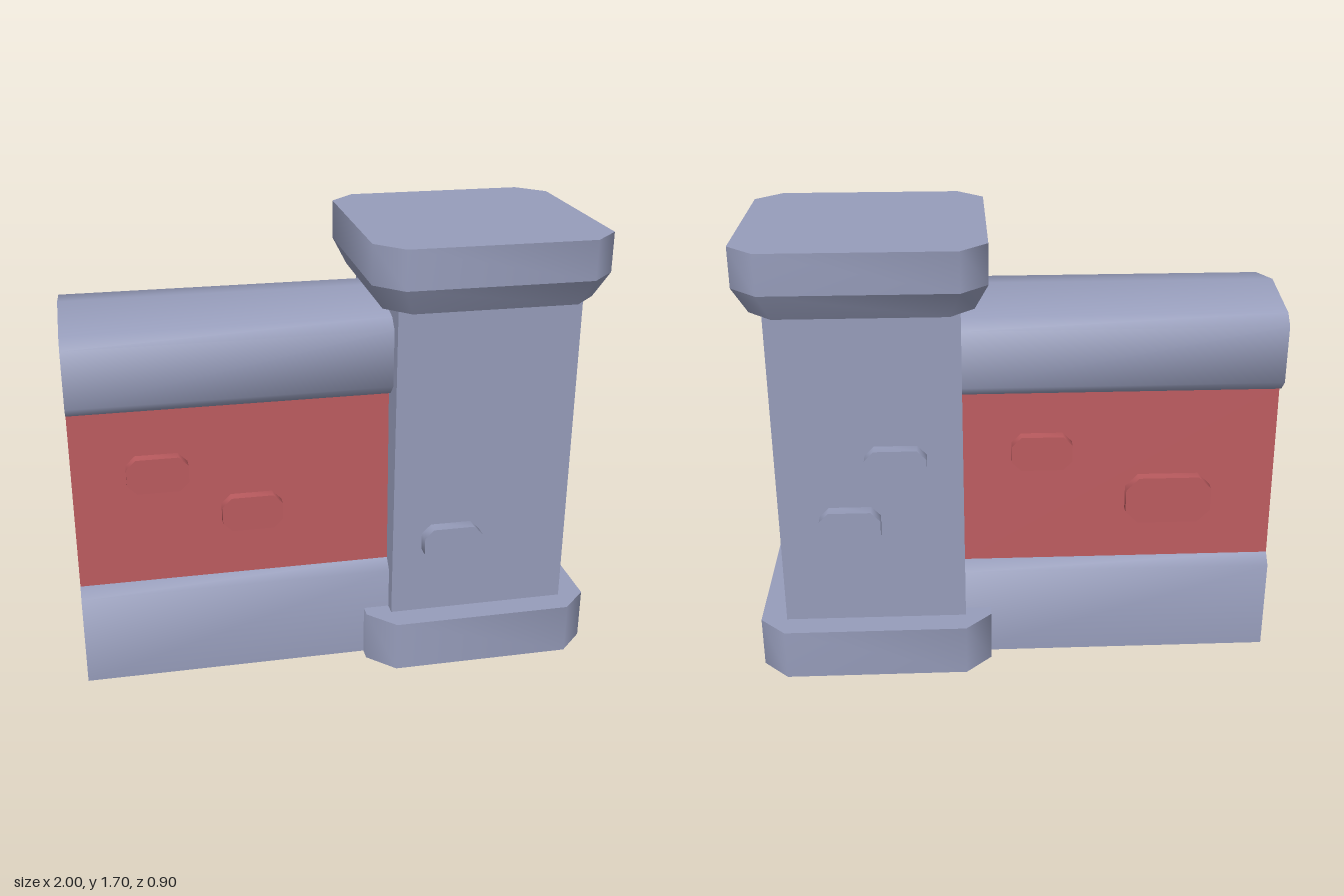
import * as THREE from 'three';
import { toCreasedNormals } from 'three/addons/utils/BufferGeometryUtils.js';

const stone = new THREE.MeshStandardMaterial({ color: 0x969cba });
stone.name = 'stone';
const redBrick = new THREE.MeshStandardMaterial({ color: 0xbb5b5f });
redBrick.name = 'red brick';

const PILLAR_X = 0.55;

function extrude(points, depth) {
  const shape = new THREE.Shape(points.map(([x, y]) => new THREE.Vector2(x, y)));
  return new THREE.ExtrudeGeometry(shape, { depth, bevelEnabled: false });
}

// Rectangle centred on the origin with its four corners cut off
function cutRect(w, h, c) {
  const a = w / 2, b = h / 2;
  return [[a, -b + c], [a, b - c], [a - c, b], [-a + c, b],
    [-a, b - c], [-a, -b + c], [-a + c, -b], [a - c, -b]];
}

export function createModel() {
  const group = new THREE.Group();

  function add(name, geometry, material) {
    const mesh = new THREE.Mesh(geometry, material);
    mesh.name = name;
    group.add(mesh);
    return mesh;
  }

  // Wall courses: a symmetric [half depth, height] profile run along x
  function course(name, half, material) {
    const mirrored = half.filter(([z]) => z > 0).reverse().map(([z, y]) => [-z, y]);
    const geometry = extrude([...half, ...mirrored], 1.2);
    geometry.rotateY(Math.PI / 2).translate(-1, 0, 0);
    add(name, toCreasedNormals(geometry, 0.85), material);
  }
  course('wallBase', [[0.3, 0], [0.3, 0.36], [0.26, 0.4]], stone);
  course('wallPanel', [[0.26, 0.4], [0.235, 1.1]], redBrick);
  course('wallCoping', [[0.26, 1.1], [0.3, 1.14], [0.3, 1.36], [0.26, 1.4], [0, 1.45]], stone);

  // Pillar slabs with cut corners, optionally narrower at the bottom
  function slab(name, y, height, bottomScale = 1) {
    const geometry = extrude(cutRect(0.9, 0.9, 0.1), height).rotateX(-Math.PI / 2);
    const p = geometry.attributes.position;
    for (let i = 0; i < p.count; i++) {
      if (p.getY(i) < height / 2) p.setXYZ(i, p.getX(i) * bottomScale, 0, p.getZ(i) * bottomScale);
    }
    geometry.translate(PILLAR_X, y, 0);
    add(name, toCreasedNormals(geometry, 0.85), stone);
  }
  slab('pillarPlinth', 0, 0.2);
  slab('pillarCapFlare', 1.45, 0.1, 0.4 / 0.45);
  slab('pillarCap', 1.55, 0.15);
  add('pillarShaft', new THREE.BoxGeometry(0.7, 1.25, 0.7).translate(PILLAR_X, 0.825, 0), stone);

  // Raised bricks: centre of the inner face, turn about y, size
  function brick(name, material, x, y, z, turn, w = 0.23, h = 0.137, depth = 0.06) {
    const geometry = extrude(cutRect(w, h, h * 0.26), depth);
    const mesh = add(name, toCreasedNormals(geometry, 0.85), material);
    mesh.position.set(x, y, z);
    mesh.rotation.y = turn;
  }
  brick('pillarFrontBrick', stone, 0.43, 0.507, 0.34, 0);
  brick('pillarSideBrick', stone, 0.89, 1.117, 0.085, Math.PI / 2);
  brick('pillarBackBrickUpper', stone, 0.45, 0.867, -0.34, Math.PI);
  brick('pillarBackBrickLower', stone, 0.63, 0.617, -0.34, Math.PI);
  brick('wallFrontBrickUpper', redBrick, -0.685, 0.847, 0.225, 0);
  brick('wallFrontBrickLower', redBrick, -0.335, 0.662, 0.23, 0);
  brick('wallBackBrickSmall', redBrick, -0.1, 0.86, -0.225, Math.PI);
  brick('wallBackBrickLarge', redBrick, -0.59, 0.655, -0.23, Math.PI, 0.33, 0.19);

  return group;
}
